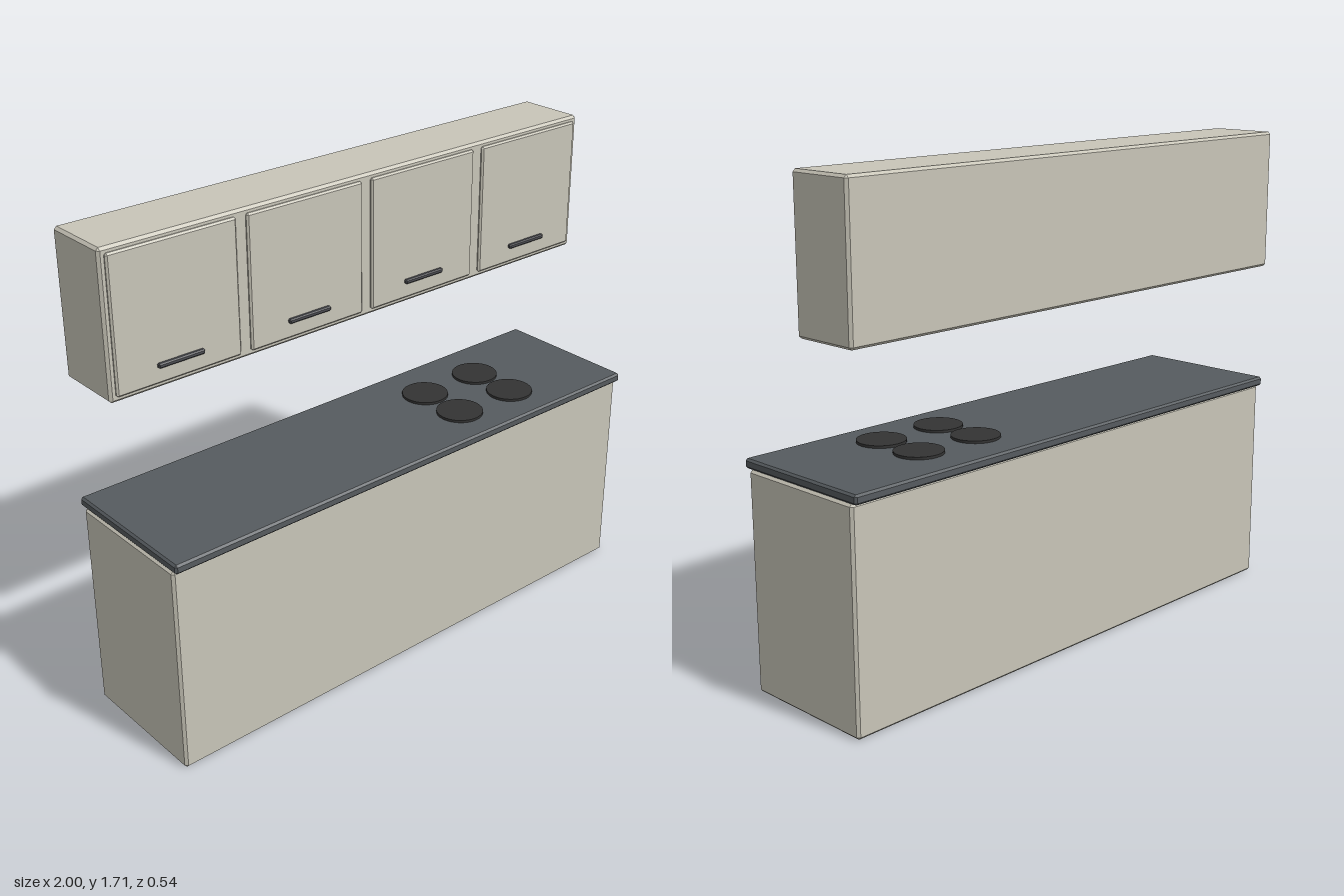
import * as THREE from 'three';
import { ConvexGeometry } from 'three/addons/geometries/ConvexGeometry.js';

const material = (color) => new THREE.MeshStandardMaterial({ color, flatShading: true });
const cream = material(0xc8c5b8);
const slate = material(0x565b5f);
const handleGrey = material(0x4a4b50);
const black = material(0x333333);

// Box with chamfered edges, given by its min and max corners
function chamferBox(name, min, max, c, mat) {
  const h = [0, 1, 2].map((i) => (max[i] - min[i]) / 2);
  const points = [];
  for (const sx of [-1, 1]) for (const sy of [-1, 1]) for (const sz of [-1, 1]) {
    for (let full = 0; full < 3; full++) {
      const p = [sx, sy, sz].map((s, i) => s * (h[i] - (i === full ? 0 : c)));
      points.push(new THREE.Vector3(...p));
    }
  }
  const mesh = new THREE.Mesh(new ConvexGeometry(points), mat);
  mesh.position.set(...min.map((v, i) => (v + max[i]) / 2));
  mesh.name = name;
  return mesh;
}

export function createModel() {
  const model = new THREE.Group();
  model.name = 'kitchenUnit';

  // Base cabinet and overhanging worktop
  model.add(chamferBox('baseCabinet', [-1, 0, -0.25], [1, 0.753, 0.25], 0.009, cream));
  model.add(chamferBox('worktop', [-1, 0.753, -0.27], [1, 0.786, 0.27], 0.007, slate));

  // Four hotplates
  const plate = new THREE.CylinderGeometry(0.083, 0.083, 0.012, 32);
  const plateMaterial = black.clone();
  plateMaterial.flatShading = false;
  for (const x of [0.33, 0.58]) for (const z of [0.104, -0.077]) {
    const hotplate = new THREE.Mesh(plate, plateMaterial);
    hotplate.name = 'hotplate';
    hotplate.position.set(x, 0.789, z);
    model.add(hotplate);
  }

  // Wall cabinet with four doors and bar handles
  const wall = new THREE.Group();
  wall.name = 'wallCabinet';
  wall.add(chamferBox('wallCabinetBody', [-1, 1.213, -0.27], [1, 1.708, -0.024], 0.009, cream));
  for (let i = 0; i < 4; i++) {
    const x = -0.75 + i * 0.5;
    wall.add(chamferBox('door', [x - 0.23, 1.232, -0.034], [x + 0.23, 1.69, -0.014], 0.006, cream));
    wall.add(chamferBox('handle', [x - 0.085, 1.286, -0.018], [x + 0.085, 1.302, -0.002], 0.004, handleGrey));
  }
  model.add(wall);

  return model;
}
